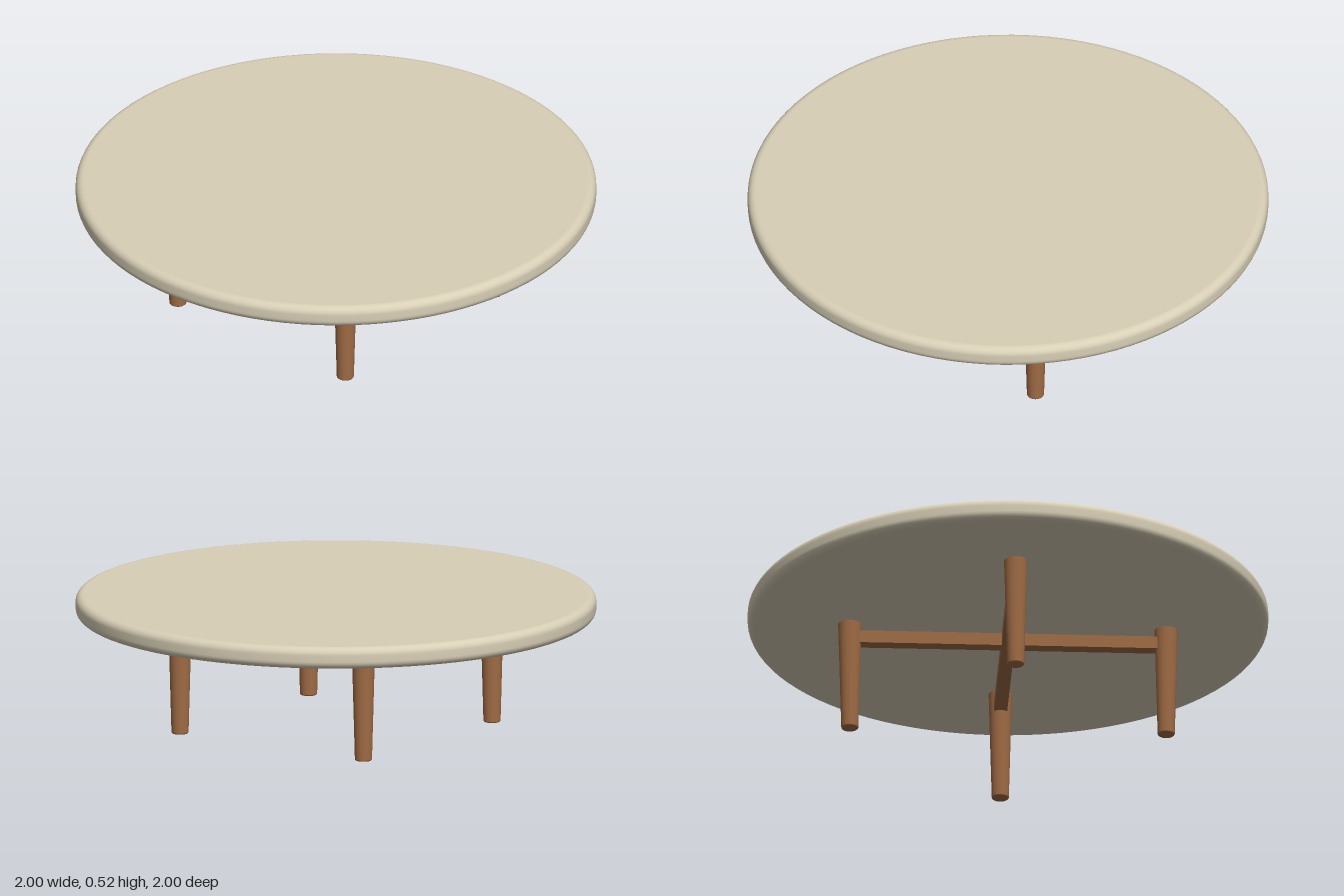
import * as THREE from 'three';

const TOP_Y = 0.525, UNDER_Y = 0.44, EDGE = 0.03, LEG = 0.43;

// Quarter-round from angle a0 to a1 about (cx, cy)
function arc(cx, cy, r, a0, a1, steps = 6) {
  return Array.from({ length: steps + 1 }, (_, i) => {
    const a = a0 + (a1 - a0) * i / steps;
    return new THREE.Vector2(cx + r * Math.cos(a), cy + r * Math.sin(a));
  });
}

// Disc caps are separate from the rounded rim so they stay flat-shaded
function disc(radius, y, up, material) {
  const mesh = new THREE.Mesh(new THREE.CircleGeometry(radius, 96), material);
  mesh.rotation.x = up ? -Math.PI / 2 : Math.PI / 2;
  mesh.position.y = y;
  return mesh;
}

export function createModel() {
  const model = new THREE.Group();
  model.name = 'roundCoffeeTable';
  const stone = new THREE.MeshStandardMaterial({ color: 0xd8cfb6 });
  stone.name = 'paleStone';
  const wood = new THREE.MeshStandardMaterial({ color: 0xa06c45 });
  wood.name = 'warmWood';

  // Table top: rounded rim with flat upper and lower faces
  const top = new THREE.Group();
  top.name = 'tableTop';
  const rim = new THREE.Mesh(new THREE.LatheGeometry([
    ...arc(1 - EDGE, UNDER_Y + EDGE, EDGE, -Math.PI / 2, 0),
    ...arc(1 - EDGE, TOP_Y - EDGE, EDGE, 0, Math.PI / 2),
  ], 96), stone);
  rim.name = 'roundedRim';
  const upper = disc(1 - EDGE, TOP_Y, true, stone);
  upper.name = 'upperFace';
  const under = disc(1 - EDGE, UNDER_Y, false, stone);
  under.name = 'underFace';
  top.add(rim, upper, under);
  model.add(top);

  // Four tapered legs with softened feet
  const legGeometry = new THREE.LatheGeometry([
    new THREE.Vector2(0.029, 0),
    ...arc(0.027, 0.006, 0.006, -Math.PI / 4, 0, 3),
    new THREE.Vector2(0.045, UNDER_Y + 0.005),
  ], 32);
  for (const sx of [-1, 1]) for (const sz of [-1, 1]) {
    const leg = new THREE.Group();
    leg.name = `${sz > 0 ? 'front' : 'back'}${sx > 0 ? 'Left' : 'Right'}Leg`;
    const shaft = new THREE.Mesh(legGeometry, wood);
    shaft.name = 'legShaft';
    const foot = disc(0.029, 0, false, wood);
    foot.name = 'legFoot';
    leg.add(shaft, foot);
    leg.position.set(sx * LEG, 0, sz * LEG);
    model.add(leg);
  }

  // Crossed stretchers joining opposite legs
  for (const side of [-1, 1]) {
    const bar = new THREE.Mesh(new THREE.BoxGeometry(LEG * 2 * Math.SQRT2, 0.05, 0.05), wood);
    bar.name = side > 0 ? 'stretcherA' : 'stretcherB';
    bar.position.y = 0.38;
    bar.rotation.y = side * Math.PI / 4;
    model.add(bar);
  }
  return model;
}
